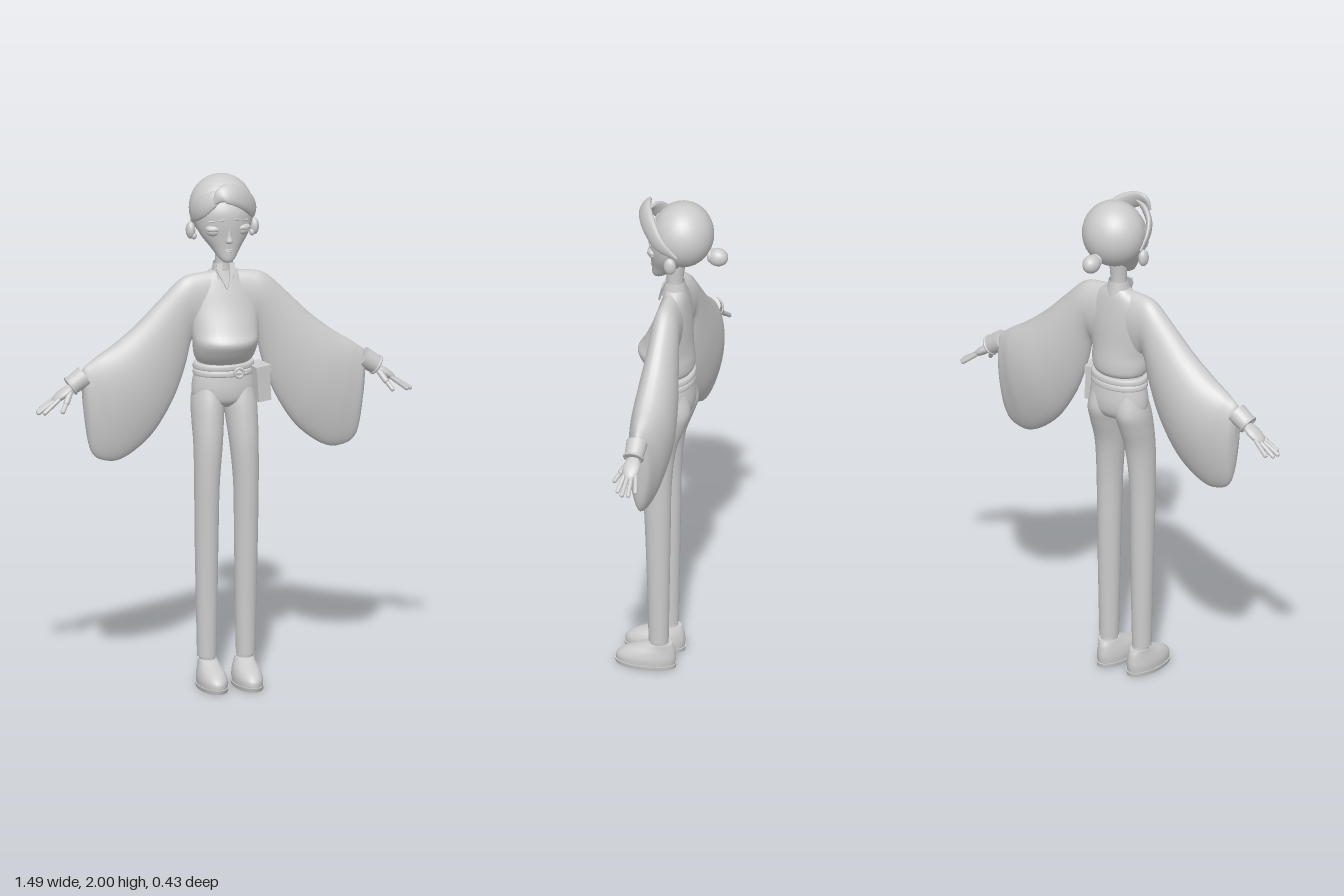
import * as THREE from 'three';

const grey = new THREE.MeshStandardMaterial({ color: 0xcccccc });
grey.name = 'plain grey';
grey.side = THREE.DoubleSide;
const V = (x, y, z) => new THREE.Vector3(x, y, z);

// Smoothly interpolates rows of numbers, k steps per gap
function smooth(rows, k = 5) {
  const out = [];
  const at = i => rows[Math.min(Math.max(i, 0), rows.length - 1)];
  for (let i = 0; i < rows.length - 1; i++) {
    for (let s = 0; s < k; s++) {
      const t = s / k;
      out.push(rows[i].map((p1, c) => {
        const p0 = at(i - 1)[c], p2 = at(i + 1)[c], p3 = at(i + 2)[c];
        return p1 + 0.5 * t * (p2 - p0 + t * (2 * p0 - 5 * p1 + 4 * p2 - p3 + t * (3 * (p1 - p2) + p3 - p0)));
      }));
    }
  }
  out.push(rows[rows.length - 1]);
  return out;
}

// Skins rings of points (counter-clockwise about the direction of travel) and caps both ends
function loft(rings) {
  const n = rings[0].length, pos = [], idx = [];
  rings.forEach(r => r.forEach(p => pos.push(p.x, p.y, p.z)));
  for (let j = 0; j < rings.length - 1; j++) {
    for (let i = 0; i < n; i++) {
      const a = j * n + i, b = j * n + (i + 1) % n;
      idx.push(a, b, b + n, a, b + n, a + n);
    }
  }
  [rings[0], rings[rings.length - 1]].forEach((r, end) => {
    const c = r.reduce((s, p) => s.add(p), V(0, 0, 0)).divideScalar(n);
    const base = pos.length / 3;
    [...r, c].forEach(p => pos.push(p.x, p.y, p.z));
    for (let i = 0; i < n; i++) {
      const a = base + i, b = base + (i + 1) % n;
      if (end) idx.push(a, b, base + n); else idx.push(b, a, base + n);
    }
  });
  const g = new THREE.BufferGeometry();
  g.setAttribute('position', new THREE.Float32BufferAttribute(pos, 3));
  g.setIndex(idx);
  g.computeVertexNormals();
  return g;
}

// Stack of ovals: rows of [y, centre x, half width, front z, back z]
function stack(rows, k = 5, n = 32) {
  return loft(smooth(rows, k).map(([y, cx, rx, zf, zb]) => Array.from({ length: n }, (_, i) => {
    const a = i / n * Math.PI * 2;
    return V(cx + rx * Math.sin(a), y, (zf + zb) / 2 + (zf - zb) / 2 * Math.cos(a));
  })));
}

// Flat hair lock lying on the head: rows of [x, y, z, half width, half thickness]
function lock(rows) {
  const pts = smooth(rows, 6), heart = V(0, 1.87, -0.035), p = r => V(r[0], r[1], r[2]);
  return loft(pts.map((r, i) => {
    const t = p(pts[Math.min(i + 1, pts.length - 1)]).sub(p(pts[Math.max(i - 1, 0)])).normalize();
    const out = p(r).sub(heart);
    out.addScaledVector(t, -out.dot(t)).normalize();
    const side = t.clone().cross(out);
    return Array.from({ length: 16 }, (_, j) => {
      const a = j / 16 * Math.PI * 2;
      return p(r).addScaledVector(out, r[4] * Math.cos(a)).addScaledVector(side, r[3] * Math.sin(a));
    });
  }));
}

// Solid aligned from a to b
function between(g, a, b) {
  const q = new THREE.Quaternion().setFromUnitVectors(V(0, 1, 0), b.clone().sub(a).normalize());
  const m = a.clone().add(b).multiplyScalar(0.5);
  return g.applyQuaternion(q).translate(m.x, m.y, m.z);
}
const finger = (a, b, r) => between(new THREE.CapsuleGeometry(r, a.distanceTo(b), 5, 10), a, b);
const ball = (x, y, z, rx, ry, rz) => new THREE.SphereGeometry(1, 32, 20).scale(rx, ry, rz).translate(x, y, z);

function mirrored(g) {
  const m = g.clone().scale(-1, 1, 1);
  const tris = m.index || new THREE.BufferAttribute(new Uint32Array(m.attributes.position.count).map((_, i) => i), 1);
  const a = Array.from(tris.array);
  for (let i = 0; i < a.length; i += 3) [a[i], a[i + 1]] = [a[i + 1], a[i]];
  m.setIndex(a);
  return m;
}

export function createModel() {
  const model = new THREE.Group();
  model.name = 'standing figure';
  const add = (name, g) => {
    const mesh = new THREE.Mesh(g, grey);
    mesh.name = name;
    model.add(mesh);
  };
  const pair = (name, g) => {
    add(name + 'Left', g);
    add(name + 'Right', mirrored(g));
  };

  // Head and face
  add('face', stack([
    [1.675, 0, 0.014, 0.076, 0.045], [1.69, 0, 0.032, 0.083, 0.02], [1.73, 0, 0.06, 0.085, -0.03],
    [1.78, 0, 0.096, 0.089, -0.08], [1.83, 0, 0.113, 0.094, -0.1], [1.88, 0, 0.115, 0.092, -0.1],
    [1.93, 0, 0.09, 0.07, -0.08]]));
  add('neck', stack([[1.58, 0, 0.036, 0.03, -0.045], [1.66, 0, 0.031, 0.026, -0.038], [1.75, 0, 0.034, 0.03, -0.05]]));
  add('nose', stack([[1.752, 0, 0.006, 0.086, 0.07], [1.762, 0, 0.015, 0.104, 0.07],
    [1.785, 0, 0.009, 0.098, 0.07], [1.82, 0, 0.006, 0.092, 0.07]], 5, 16));
  add('upperLip', ball(0, 1.727, 0.082, 0.019, 0.004, 0.007));
  add('lowerLip', ball(0, 1.719, 0.081, 0.014, 0.004, 0.007));
  pair('eye', ball(0.05, 1.802, 0.069, 0.031, 0.021, 0.02).rotateY(0.08));
  pair('upperLid', ball(0.05, 1.811, 0.07, 0.034, 0.016, 0.022).rotateY(0.08));
  pair('brow', finger(V(0.022, 1.85, 0.092), V(0.075, 1.84, 0.071), 0.004));
  pair('ear', ball(0.117, 1.79, -0.018, 0.018, 0.034, 0.024).rotateZ(-0.005));
  pair('earlobe', ball(0.115, 1.768, -0.008, 0.011, 0.014, 0.012));

  // Hair
  add('hairCap', ball(0, 1.868, -0.038, 0.124, 0.13, 0.119));
  add('hairSweep', lock([
    [-0.065, 1.925, 0.112, 0.006, 0.004], [-0.035, 1.957, 0.118, 0.034, 0.013], [0.015, 1.95, 0.108, 0.042, 0.017],
    [0.07, 1.915, 0.075, 0.042, 0.016], [0.11, 1.865, 0.025, 0.032, 0.012], [0.121, 1.825, -0.045, 0.004, 0.004]]));
  add('hairSideLock', lock([
    [-0.015, 1.96, 0.09, 0.005, 0.004], [-0.055, 1.94, 0.086, 0.028, 0.012], [-0.095, 1.9, 0.062, 0.035, 0.012],
    [-0.116, 1.86, 0.02, 0.027, 0.009], [-0.119, 1.82, -0.03, 0.004, 0.004]]));
  add('hairBun', ball(0.005, 1.788, -0.177, 0.033, 0.036, 0.04));
  add('bunTie', new THREE.TorusGeometry(0.018, 0.009, 10, 24).translate(0.005, 1.792, -0.148));

  // Blouse body with a full front above the waist
  add('blouse', stack([
    [1.265, 0, 0.092, 0.07, -0.065], [1.285, 0, 0.112, 0.092, -0.08], [1.32, 0, 0.123, 0.118, -0.082],
    [1.36, 0, 0.128, 0.136, -0.078], [1.4, 0, 0.132, 0.112, -0.074], [1.48, 0, 0.135, 0.076, -0.07],
    [1.55, 0, 0.125, 0.052, -0.063], [1.6, 0, 0.09, 0.036, -0.055], [1.63, 0, 0.05, 0.028, -0.045]]));

  // Shoulders and hanging sleeves: rows of [top x, top y, bottom x, bottom y, front z, back z]
  const half = [
    [0.1, 1.622, 0.09, 1.35, 0.048, -0.062], [0.167, 1.603, 0.125, 1.365, 0.05, -0.066],
    [0.25, 1.525, 0.155, 1.25, 0.056, -0.08], [0.34, 1.435, 0.205, 1.12, 0.068, -0.097],
    [0.43, 1.362, 0.285, 0.995, 0.074, -0.105], [0.495, 1.32, 0.385, 0.915, 0.064, -0.09],
    [0.53, 1.295, 0.46, 0.902, 0.05, -0.066], [0.55, 1.28, 0.525, 0.945, 0.036, -0.046],
    [0.56, 1.265, 0.553, 1.1, 0.015, -0.02]];
  const flip = half.map(r => [-r[0], r[1], -r[2], ...r.slice(3)]).reverse();
  add('sleeves', loft(smooth([...flip, [0, 1.625, 0, 1.35, 0.045, -0.06], ...half]).map(([tx, ty, bx, by, zf, zb]) =>
    Array.from({ length: 36 }, (_, i) => {
      const a = i / 36 * Math.PI * 2, t = (1 - Math.cos(a)) / 2, s = Math.sin(a);
      const taper = 1 - 0.3 * t * t;
      return V(tx + (bx - tx) * t, ty + (by - ty) * t, (s > 0 ? zf : -zb) * s * taper);
    }))));

  // Collar with an open front
  add('collar', new THREE.CylinderGeometry(0.038, 0.05, 0.06, 28, 1, true, 0.35, Math.PI * 2 - 0.7)
    .translate(0, 1.63, -0.006));
  const lapel = new THREE.Shape([[0.002, -0.1], [0.016, -0.07], [0.037, -0.025], [0.036, 0], [0.014, 0.002], [0.014, -0.05]]
    .map(p => new THREE.Vector2(...p)));
  pair('lapel', new THREE.ExtrudeGeometry(lapel, { depth: 0.007, bevelEnabled: false })
    .rotateX(-0.28).translate(0, 1.66, 0.026));

  // Wrists and hands
  pair('cuff', between(new THREE.CylinderGeometry(0.036, 0.041, 0.066, 24), V(0.548, 1.246, 0), V(0.606, 1.208, 0)));
  pair('cuffRim', between(new THREE.TorusGeometry(0.035, 0.006, 8, 24).rotateX(Math.PI / 2), V(0.597, 1.214, 0), V(0.612, 1.204, 0)));
  pair('palm', between(new THREE.SphereGeometry(1, 20, 14).scale(0.017, 0.053, 0.033), V(0.595, 1.208, 0), V(0.675, 1.153, 0)));
  [[0.716, 1.117, 0.034], [0.735, 1.113, 0.012], [0.731, 1.113, -0.012], [0.712, 1.12, -0.035]].forEach(([x, y, z], i) =>
    pair('finger' + (i + 1), finger(V(0.655, 1.164, z * 0.6), V(x, y, z), 0.0085)));
  pair('thumbBase', finger(V(0.61, 1.19, 0.016), V(0.632, 1.155, 0.042), 0.012));
  pair('thumb', finger(V(0.632, 1.155, 0.042), V(0.652, 1.125, 0.062), 0.009));

  // Trousers
  add('hips', stack([
    [1.095, 0, 0.085, 0.045, -0.065], [1.12, 0, 0.118, 0.072, -0.08], [1.16, 0, 0.125, 0.08, -0.085],
    [1.21, 0, 0.119, 0.077, -0.08], [1.28, 0, 0.1, 0.068, -0.068]]));
  pair('trouserLeg', stack([
    [0.115, 0.077, 0.037, 0.078, 0.0], [0.3, 0.077, 0.041, 0.081, -0.003], [0.6, 0.078, 0.046, 0.091, -0.008],
    [0.8, 0.077, 0.049, 0.1, -0.012], [0.95, 0.071, 0.056, 0.102, -0.028], [1.05, 0.067, 0.062, 0.092, -0.062],
    [1.12, 0.063, 0.064, 0.08, -0.083], [1.2, 0.055, 0.055, 0.058, -0.068]]));
  pair('ankle', stack([[0.085, 0.073, 0.031, 0.07, 0.0], [0.13, 0.076, 0.033, 0.074, 0.004]], 2));

  // Belt, buckle and hip pouch
  [1.232, 1.257].forEach((y, i) => add('beltBand' + (i + 1), stack([
    [y - 0.012, 0, 0.114, 0.078, -0.08], [y - 0.008, 0, 0.12, 0.084, -0.086],
    [y + 0.008, 0, 0.118, 0.083, -0.084], [y + 0.012, 0, 0.11, 0.076, -0.078]], 3)));
  add('buckle', new THREE.TorusGeometry(0.017, 0.006, 8, 20).translate(0.04, 1.238, 0.085));
  add('buckleTongue', finger(V(0.03, 1.238, 0.087), V(0.068, 1.232, 0.08), 0.005));
  const place = g => g.rotateZ(0.06).rotateY(0.25).translate(0.132, 1.18, 0.03);
  add('pouch', place(new THREE.BoxGeometry(0.055, 0.13, 0.085)));
  add('pouchFlap', place(new THREE.BoxGeometry(0.065, 0.03, 0.095).translate(0, 0.06, 0)));
  [-0.025, 0.025].forEach((z, i) =>
    add('pouchStrap' + (i + 1), place(new THREE.BoxGeometry(0.008, 0.11, 0.012).translate(0.029, 0, z))));

  // Shoes
  pair('shoe', stack([
    [0.014, 0.07, 0.055, 0.208, -0.025], [0.04, 0.07, 0.055, 0.205, -0.028], [0.065, 0.07, 0.049, 0.175, -0.026],
    [0.085, 0.071, 0.041, 0.125, -0.022], [0.103, 0.073, 0.035, 0.082, -0.014]]));
  pair('sole', stack([[0, 0.07, 0.056, 0.209, -0.027], [0.016, 0.07, 0.059, 0.214, -0.03]], 1));
  return model;
}
